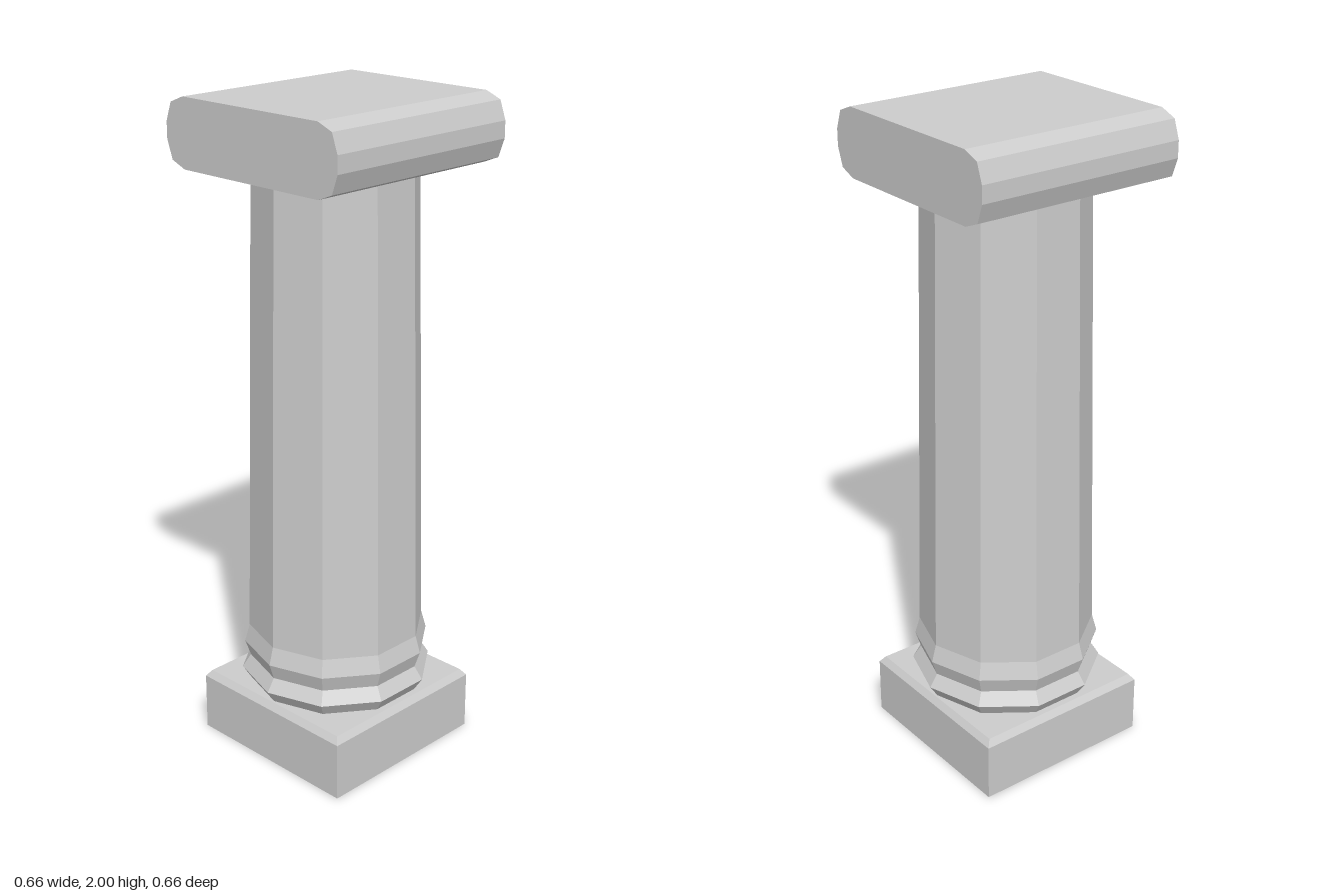
import * as THREE from 'three';

export function createModel() {
  const model = new THREE.Group();
  model.name = 'column';
  const stone = new THREE.MeshStandardMaterial({ color: 0xcccccc, flatShading: true, side: THREE.DoubleSide });
  stone.name = 'grey stone';

  const add = (name, geometry) => {
    const mesh = new THREE.Mesh(geometry, stone);
    mesh.name = name;
    model.add(mesh);
    return mesh;
  };
  const points = (list) => list.map(([x, y]) => new THREE.Vector2(x, y));

  // Square plinth, hollow below, with a bevelled top edge
  const d = Math.SQRT2;
  add('plinth', new THREE.LatheGeometry(
    points([[0.29 * d, 0], [0.29 * d, 0.18], [0.275 * d, 0.2], [0, 0.2]]), 4, Math.PI / 4));

  // Ten-sided base mouldings
  add('baseMoulding', new THREE.LatheGeometry(
    points([[0.268, 0.2], [0.294, 0.24], [0.268, 0.28], [0.285, 0.33], [0.27, 0.385]]), 10));

  // Tapering ten-sided shaft
  add('shaft', new THREE.LatheGeometry(points([[0.27, 0.385], [0.24, 1.8]]), 10));

  // Capital slab, rounded along its left and right sides
  const side = [[0.26, 1.8], [0.31, 1.82], [0.33, 1.875], [0.33, 1.925], [0.31, 1.98], [0.26, 2]];
  const mirrored = side.map(([x, y]) => [-x, y]).reverse();
  const slab = new THREE.ExtrudeGeometry(
    new THREE.Shape(points([...side, ...mirrored])), { depth: 0.66, bevelEnabled: false });
  add('capital', slab.translate(0, 0, -0.33));

  return model;
}
